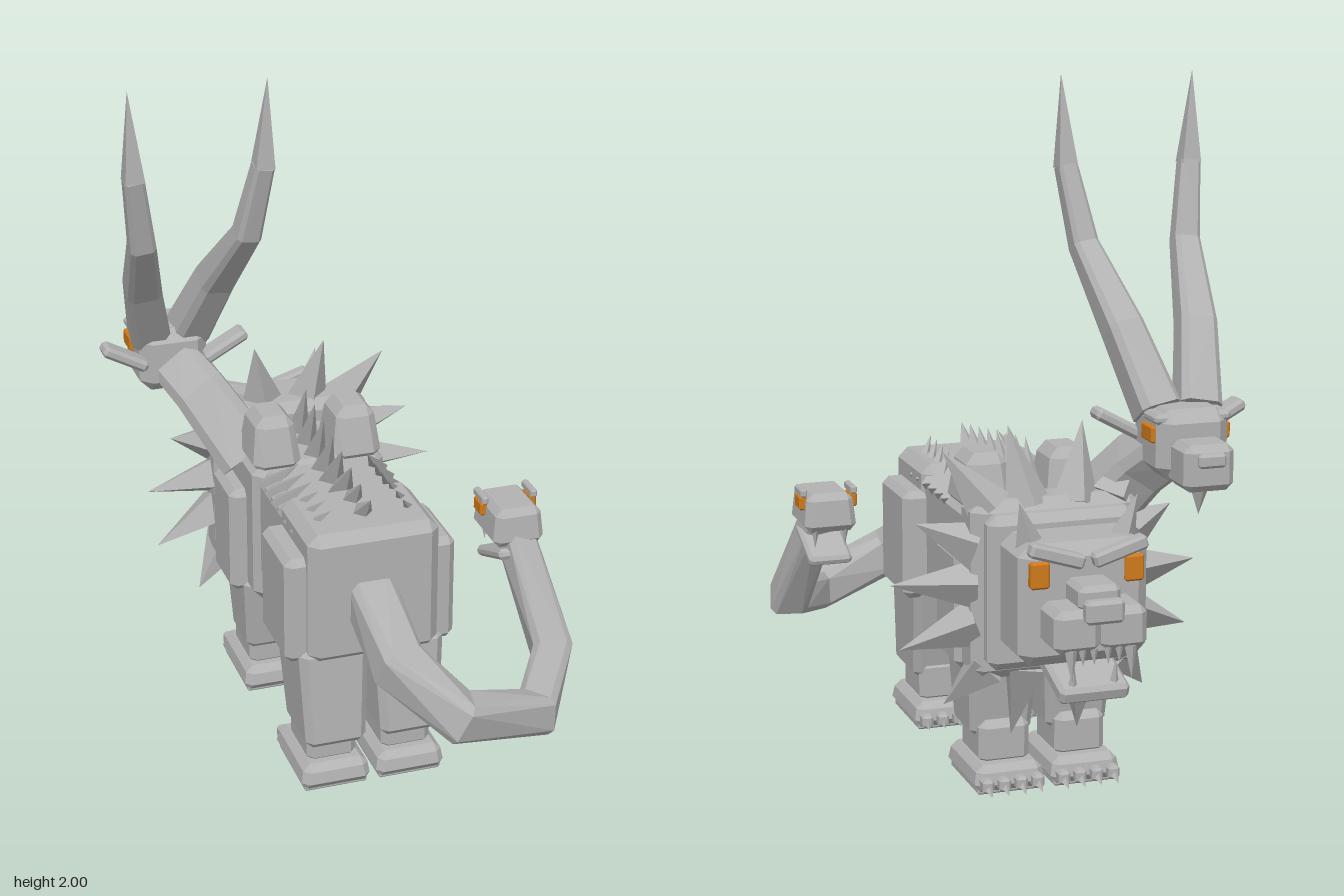
import * as THREE from 'three';
import { ConvexGeometry } from 'three/addons/geometries/ConvexGeometry.js';

const V = (x, y, z) => new THREE.Vector3(x, y, z);
const CX = -0.012; // body midline

export function createModel() {
  const stone = new THREE.MeshStandardMaterial({ color: 0xb2b2b2 });
  stone.name = 'stone grey';
  const amber = new THREE.MeshStandardMaterial({ color: 0xd07a1c });
  amber.name = 'amber';
  const root = new THREE.Group();
  root.name = 'threeHeadedBeast';

  const add = (parent, name, geo, mat = stone) => {
    const m = new THREE.Mesh(geo, mat);
    m.name = name;
    parent.add(m);
    return m;
  };
  const group = (name, parent = root, x = 0) => {
    const g = new THREE.Group();
    g.name = name;
    g.position.x = x;
    parent.add(g);
    return g;
  };

  // Chamfered block given by its ranges; the top can be scaled (top) and slid along z (slide)
  const block = (parent, name, [x0, x1], [y0, y1], [z0, z1], o = {}) => {
    const { b = 0.02, top = [1, 1], slide = 0, mat = stone } = o;
    const h = [(x1 - x0) / 2, (y1 - y0) / 2, (z1 - z0) / 2];
    const pts = [];
    for (const sx of [-1, 1]) for (const sy of [-1, 1]) for (const sz of [-1, 1])
      for (let full = 0; full < 3; full++) {
        const p = [sx, sy, sz].map((s, i) => s * (h[i] - (i === full ? 0 : b)));
        const t = (p[1] / h[1] + 1) / 2;
        pts.push(V(p[0] * (1 + (top[0] - 1) * t), p[1], p[2] * (1 + (top[1] - 1) * t) + slide * t));
      }
    const m = add(parent, name, new ConvexGeometry(pts), mat);
    m.position.set((x0 + x1) / 2, (y0 + y1) / 2, (z0 + z1) / 2);
    return m;
  };
  const mid = (c, w) => [c - w / 2, c + w / 2];

  // Four-sided spike from base to tip
  const spike = (parent, name, base, tip, r, mat = stone) => {
    const dir = tip.clone().sub(base);
    const geo = new THREE.ConeGeometry(r, dir.length(), 4).toNonIndexed();
    geo.computeVertexNormals();
    const m = add(parent, name, geo, mat);
    m.quaternion.setFromUnitVectors(V(0, 1, 0), dir.normalize());
    m.position.copy(base).add(tip).multiplyScalar(0.5);
    return m;
  };

  // Jointed limb with chamfered square cross-sections along a path
  const limb = (parent, name, path, widths, ref) => {
    const rings = path.map((p, i) => {
      const t = V(0, 0, 0);
      if (i > 0) t.add(p.clone().sub(path[i - 1]).normalize());
      if (i < path.length - 1) t.add(path[i + 1].clone().sub(p).normalize());
      t.normalize();
      const u = ref.clone().cross(t).normalize(), v = t.clone().cross(u);
      const h = widths[i] / 2, c = h * 0.68;
      return [[h, c], [c, h], [-c, h], [-h, c], [-h, -c], [-c, -h], [c, -h], [h, -c]]
        .map(([a, e]) => p.clone().addScaledVector(u, a).addScaledVector(v, e));
    });
    for (let i = 1; i < rings.length; i++)
      add(parent, name + i, new ConvexGeometry([...rings[i - 1], ...rings[i]]));
  };

  // Torso
  const body = group('body', root, CX);
  block(body, 'hindquarters', [-0.195, 0.195], [0.42, 0.83], [0.15, 0.45], { b: 0.03 });
  block(body, 'waist', [-0.185, 0.185], [0.44, 0.8], [-0.1, 0.2], { b: 0.03 });
  block(body, 'shoulders', [-0.205, 0.205], [0.36, 0.81], [-0.36, -0.06], { b: 0.03 });
  for (const s of [-1, 1]) {
    block(body, 'thighPlate', mid(s * 0.21, 0.09), [0.42, 0.75], [0.16, 0.41]);
    block(body, 'shoulderPlate', mid(s * 0.21, 0.09), [0.36, 0.7], [-0.35, -0.15]);
    block(body, 'shoulderHump', mid(s * 0.125, 0.155), [0.78, 0.95], [-0.28, -0.06], { b: 0.03, top: [0.72, 0.62] });
  }

  // Legs with toes and claws
  const leg = (name, s, z, hind) => {
    const g = group(name, body, s * 0.114);
    const f = z - 0.15; // front of the foot
    block(g, 'foot', mid(0, 0.215), [0.01, 0.085], [f, f + 0.295], { top: [0.88, 0.9] });
    block(g, 'sole', mid(0, 0.19), [0, 0.03], [f + 0.02, f + 0.275], { b: 0.005 });
    block(g, 'ankle', mid(0, 0.15), [0.07, 0.2], mid(z, 0.19));
    const zc = hind ? z + 0.03 : z + 0.03;
    block(g, 'upperLeg', mid(0, 0.18), [0.145, hind ? 0.46 : 0.4], mid(zc, hind ? 0.22 : 0.18),
      { top: [1.17, hind ? 1.22 : 1.4], slide: hind ? -0.045 : 0 });
    for (let i = 0; i < 4; i++) {
      const x = -0.075 + i * 0.05;
      block(g, 'toe', mid(x, 0.034), [0.015, 0.055], [f - 0.022, f + 0.03], { b: 0.008 });
      spike(g, 'claw', V(x, 0.03, f - 0.015), V(x, 0.014, hind ? f - 0.03 : f - 0.05), 0.013);
    }
  };
  for (const s of [-1, 1]) {
    leg('hindLeg', s, 0.31, true);
    leg('foreLeg', s, -0.275, false);
  }

  // Ridge of spikes along the back and fur tufts on both sides
  for (let i = 0; i < 8; i++) {
    const z = -0.3 + i * 0.085, y = i < 4 ? 0.79 : 0.8;
    spike(body, 'spineSpike', V(0, y, z), V(0, 0.985 - i * 0.012, z + 0.1), 0.04);
  }
  for (const s of [-1, 1]) for (let i = 0; i < 6; i++) {
    const z = -0.04 + i * 0.062;
    spike(body, 'backTuft', V(s * 0.175, 0.765, z), V(s * 0.105, 0.875, z + 0.1), 0.03);
  }

  // Mane with radiating spikes
  const mane = group('mane', body);
  block(mane, 'maneBlock', [-0.245, 0.245], [0.36, 0.87], [-0.48, -0.34], { b: 0.03 });
  block(mane, 'maneCollar', [-0.215, 0.215], [0.4, 0.84], [-0.53, -0.45], { b: 0.025 });
  const tips = [[0.11, 1.06], [0.3, 1.0], [0.38, 0.8], [0.455, 0.63], [0.43, 0.44], [0.3, 0.27], [0.1, 0.16]];
  const bases = [[0.07, 0.84], [0.18, 0.84], [0.22, 0.74], [0.22, 0.63], [0.22, 0.52], [0.19, 0.4], [0.08, 0.39]];
  for (const s of [-1, 1]) tips.forEach(([x, y], i) =>
    spike(mane, 'maneSpike', V(s * bases[i][0], bases[i][1], -0.43), V(s * x, y, -0.37), 0.07));

  // Big cat head
  const cat = group('catHead', body);
  block(cat, 'skull', [-0.185, 0.185], [0.46, 0.8], [-0.71, -0.47], { b: 0.035 });
  for (const s of [-1, 1]) {
    block(cat, 'eye', mid(s * 0.135, 0.055), [0.685, 0.76], [-0.722, -0.685], { b: 0.006, mat: amber });
    const brow = block(cat, 'brow', mid(s * 0.09, 0.16), [0.755, 0.795], [-0.738, -0.695], { b: 0.008 });
    brow.rotation.z = s * 0.3;
    spike(cat, 'ear', V(s * 0.13, 0.77, -0.62), V(s * 0.17, 0.91, -0.645), 0.045);
    block(cat, 'muzzle', mid(s * 0.067, 0.13), [0.53, 0.65], [-0.835, -0.69]);
    spike(cat, 'fang', V(s * 0.085, 0.54, -0.82), V(s * 0.085, 0.45, -0.83), 0.018);
    spike(cat, 'lowerFang', V(s * 0.06, 0.42, -0.765), V(s * 0.06, 0.49, -0.775), 0.014);
    for (const x of [0.02, 0.052])
      spike(cat, 'tooth', V(s * x, 0.54, -0.82), V(s * x, 0.495, -0.825), 0.012);
  }
  block(cat, 'noseBridge', [-0.06, 0.06], [0.64, 0.71], [-0.82, -0.69], { b: 0.015 });
  block(cat, 'nose', [-0.055, 0.055], [0.615, 0.68], [-0.86, -0.82], { b: 0.01 });
  const jaw = block(cat, 'lowerJaw', [-0.1, 0.1], [0.4, 0.45], [-0.79, -0.6], { b: 0.012 });
  jaw.rotation.x = -0.32;

  // Goat neck and head
  const goat = group('goatHead', root, -0.354);
  limb(goat, 'goatNeck', [V(0.18, 0.75, -0.27), V(0.07, 0.93, -0.4), V(0, 1.02, -0.5)], [0.18, 0.16, 0.15], V(0, 0, 1));
  block(goat, 'goatSkull', [-0.105, 0.105], [0.93, 1.125], [-0.64, -0.42], { b: 0.035 });
  block(goat, 'goatMuzzle', [-0.073, 0.073], [0.92, 1.05], [-0.745, -0.6], { b: 0.02 });
  block(goat, 'goatNose', [-0.04, 0.04], [0.99, 1.03], [-0.762, -0.735], { b: 0.008 });
  block(goat, 'goatBrow', [-0.112, 0.112], [1.085, 1.115], [-0.62, -0.52], { b: 0.01 });
  spike(goat, 'goatBeard', V(0, 0.94, -0.67), V(0, 0.84, -0.66), 0.035);
  for (const s of [-1, 1]) {
    block(goat, 'goatEye', mid(s * 0.104, 0.026), [1.033, 1.08], [-0.602, -0.522], { b: 0.005, mat: amber });
    const ear = block(goat, 'goatEar', mid(s * 0.155, 0.15), [1.043, 1.078], [-0.47, -0.4], { b: 0.01 });
    ear.rotation.z = s * 0.5;
    limb(goat, 'horn', [V(s * 0.06, 1.1, -0.5), V(s * 0.11, 1.31, -0.36), V(s * 0.155, 1.52, -0.165), V(s * 0.188, 1.74, -0.105)],
      [0.12, 0.105, 0.075, 0.058], V(1, 0, 0));
    spike(goat, 'hornTip', V(s * 0.188, 1.735, -0.105), V(s * 0.2, 2, -0.093), 0.04).rotateY(Math.PI / 4);
  }

  // Serpent tail and head
  const serpent = group('serpentTail');
  limb(serpent, 'tailSegment', [V(-0.02, 0.63, 0.38), V(-0.02, 0.52, 0.66), V(0.12, 0.4, 0.79),
    V(0.38, 0.32, 0.71), V(0.52, 0.37, 0.48), V(0.47, 0.66, 0.3)], [0.135, 0.135, 0.13, 0.12, 0.115, 0.095], V(0, 1, 0));
  const snake = group('serpentHead', serpent, 0.466);
  block(snake, 'serpentSkull', [-0.08, 0.08], [0.65, 0.765], [0.15, 0.35], { b: 0.02, top: [0.85, 0.88] });
  const lower = block(snake, 'serpentJaw', [-0.065, 0.065], [0.58, 0.612], [0.16, 0.36], { b: 0.01 });
  lower.rotation.x = -0.4;
  for (const s of [-1, 1]) {
    block(snake, 'serpentEye', mid(s * 0.077, 0.022), [0.715, 0.757], [0.19, 0.25], { b: 0.005, mat: amber });
    block(snake, 'serpentBrow', mid(s * 0.076, 0.02), [0.755, 0.78], [0.18, 0.26], { b: 0.005 });
    spike(snake, 'serpentFang', V(s * 0.045, 0.66, 0.175), V(s * 0.045, 0.6, 0.18), 0.012);
  }
  return root;
}
